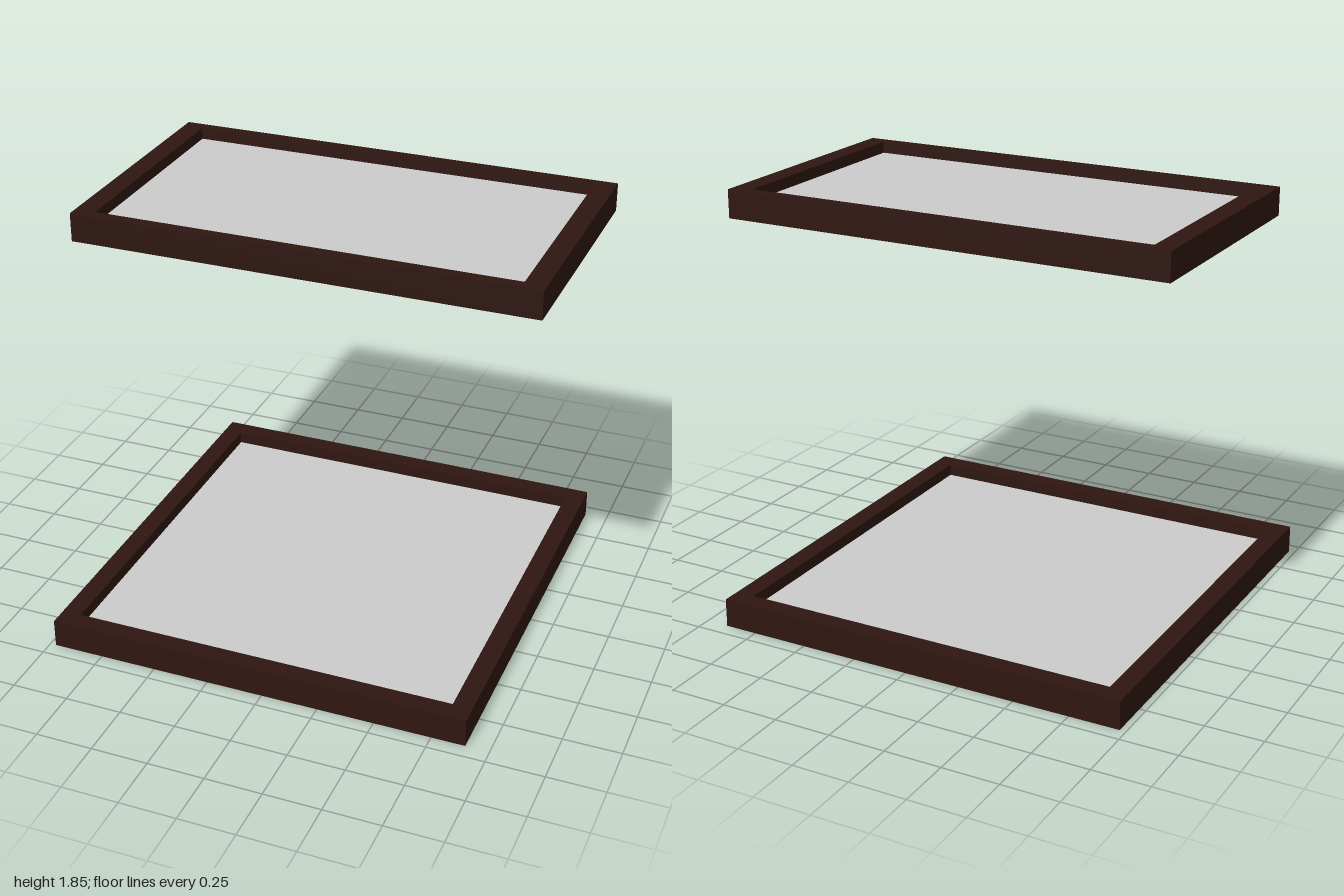
import * as THREE from 'three';

const wood = new THREE.MeshStandardMaterial({ color: 0x2f1611 });
const grey = new THREE.MeshStandardMaterial({ color: 0xcccccc });

function part(name, geometry, material, parent) {
  const mesh = new THREE.Mesh(geometry, material);
  mesh.name = name;
  parent.add(mesh);
  return mesh;
}

// Shallow tray: rectangular rim, closed wooden base and a recessed panel.
function createTray({ name, width, depth, height, railX, railZ, recess }) {
  const tray = new THREE.Group();
  tray.name = name;
  const w = width / 2, d = depth / 2, iw = w - railX, id = d - railZ;
  const floor = height - recess, panelThickness = 0.01;

  // Rim, extruded upwards with a rectangular opening
  const shape = new THREE.Shape([[-w, -d], [w, -d], [w, d], [-w, d]].map(p => new THREE.Vector2(...p)));
  shape.holes.push(new THREE.Path([[-iw, -id], [-iw, id], [iw, id], [iw, -id]].map(p => new THREE.Vector2(...p))));
  const rim = new THREE.ExtrudeGeometry(shape, { depth: height, bevelEnabled: false });
  rim.rotateX(-Math.PI / 2);
  part('rim', rim, wood, tray);

  // Base fills the opening from below, the panel rests on it
  const baseHeight = floor - panelThickness;
  part('base', new THREE.BoxGeometry(iw * 2, baseHeight, id * 2), wood, tray).position.y = baseHeight / 2;
  part('panel', new THREE.BoxGeometry(iw * 2, panelThickness, id * 2), grey, tray).position.y = floor - panelThickness / 2;
  return tray;
}

export function createModel() {
  const model = new THREE.Group();
  model.name = 'framedTrays';

  const lower = createTray({
    name: 'lowerTray', width: 1.87, depth: 1.87, height: 0.126, railX: 0.085, railZ: 0.085, recess: 0.055,
  });
  lower.position.set(-0.038, 0, 0);

  const upper = createTray({
    name: 'upperTray', width: 2, depth: 1.124, height: 0.124, railX: 0.09, railZ: 0.05, recess: 0.05,
  });
  upper.position.set(0, 1.729, -0.069);

  model.add(lower, upper);
  return model;
}
